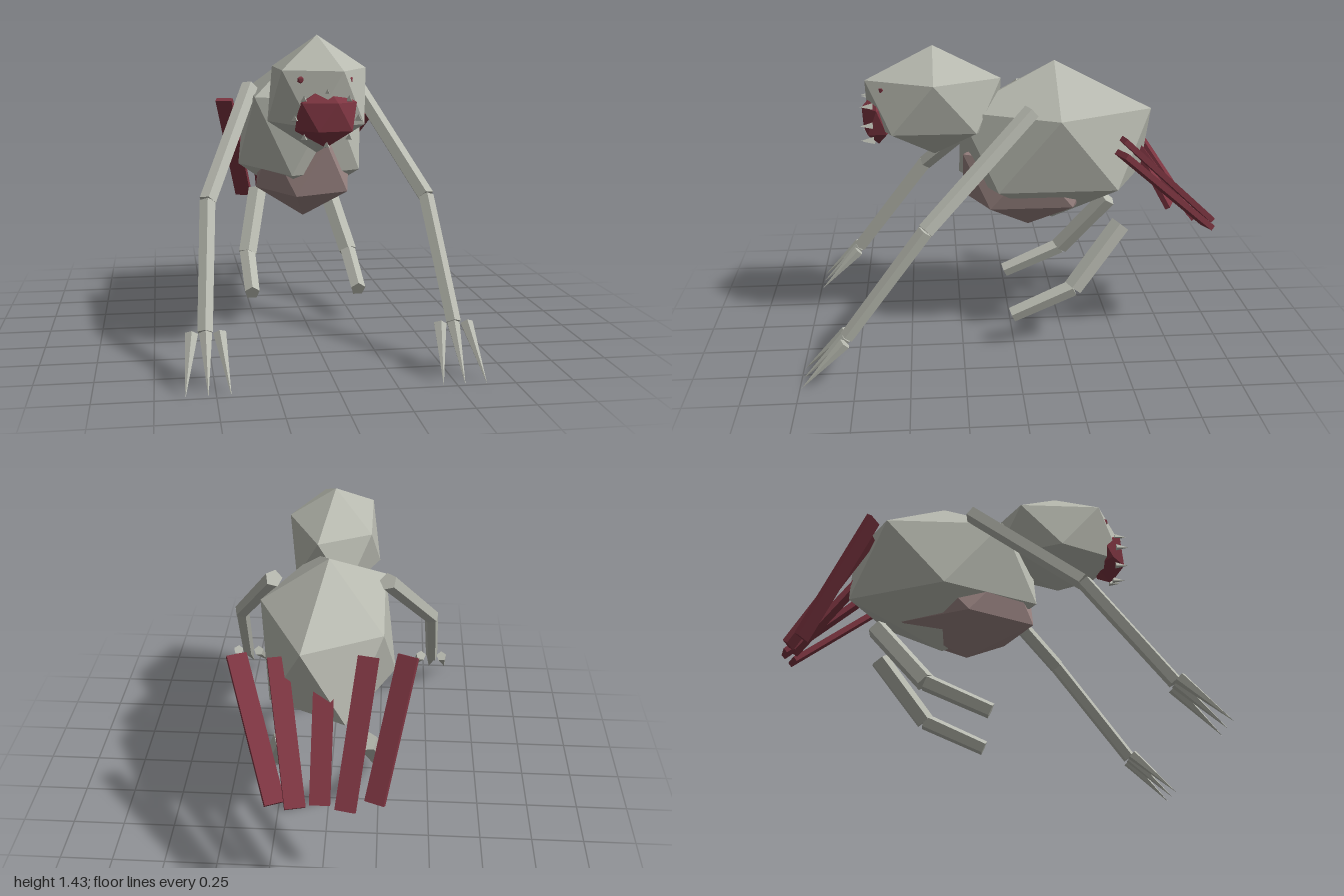
import * as THREE from 'three';
import { ConvexGeometry } from 'three/addons/geometries/ConvexGeometry.js';

const V = (x, y, z) => new THREE.Vector3(x, y, z);

export function createModel() {
  const model = new THREE.Group();
  model.name = 'creature';

  const flat = (name, color) => {
    const m = new THREE.MeshStandardMaterial({ color, flatShading: true });
    m.name = name;
    return m;
  };
  const skin = flat('pale grey skin', 0xb8bab0);
  const belly = flat('pinkish grey belly', 0x9a8482);
  const red = flat('dark red', 0x7d3541);

  const add = (name, geometry, material, parent = model) => {
    const mesh = new THREE.Mesh(geometry, material);
    mesh.name = name;
    parent.add(mesh);
    return mesh;
  };

  // Pole-up icosahedron: two poles and two staggered rings of five
  const blob = (name, centre, radii, material) => {
    const points = [V(0, 1, 0), V(0, -1, 0)];
    const h = Math.sqrt(0.2), r = 2 * h;
    for (let i = 0; i < 5; i++) {
      const a = i * Math.PI * 0.4;
      points.push(V(r * Math.cos(a), h, r * Math.sin(a)));
      points.push(V(-r * Math.cos(a), -h, r * Math.sin(a)));
    }
    points.forEach(p => p.multiply(radii));
    add(name, new ConvexGeometry(points), material).position.copy(centre);
  };

  // Tapered prism running from a top point down to a bottom point
  const limb = (name, top, bottom, rTop, rBottom, parent, sides = 5) => {
    const axis = top.clone().sub(bottom);
    const mesh = add(name, new THREE.CylinderGeometry(rTop, rBottom, axis.length(), sides), skin, parent);
    mesh.position.copy(top).add(bottom).multiplyScalar(0.5);
    mesh.quaternion.setFromUnitVectors(V(0, 1, 0), axis.normalize());
  };

  // Body masses
  blob('body', V(0, 0.962, -0.21), V(0.35, 0.397, 0.535), skin);
  blob('belly', V(0, 0.803, -0.09), V(0.263, 0.27, 0.376), belly);
  blob('head', V(0, 1.175, 0.365), V(0.25, 0.265, 0.372), skin);
  blob('mouth', V(0, 1.1, 0.63), V(0.15, 0.135, 0.084), red);

  // Ring of teeth pointing forward
  const teeth = new THREE.Group();
  teeth.name = 'teeth';
  model.add(teeth);
  for (let i = 0; i < 8; i++) {
    const a = i * Math.PI / 4;
    const tooth = add('tooth', new THREE.ConeGeometry(0.018, 0.06, 3), skin, teeth);
    tooth.rotation.x = Math.PI / 2;
    tooth.rotation.y = Math.PI;
    tooth.position.set(0.137 * Math.sin(a), 1.092 + 0.115 * Math.cos(a), 0.678);
    tooth.rotation.set(Math.PI / 2, Math.PI, 0);
  }

  for (const s of [1, -1]) {
    const side = s > 0 ? 'left' : 'right';
    blob(side + 'Eye', V(s * 0.103, 1.253, 0.6), V(0.02, 0.02, 0.02), red);

    // Long front arm with three claws
    const arm = new THREE.Group();
    arm.name = side + 'Arm';
    model.add(arm);
    const elbow = V(s * 0.5, 0.705, 0.415);
    limb('upperArm', V(s * 0.265, 1.18, -0.08), elbow, 0.042, 0.04, arm);
    limb('forearm', elbow, V(s * 0.535, 0.215, 0.785), 0.037, 0.034, arm);
    for (const k of [-1, 0, 1]) {
      limb('claw', V(s * 0.533 + k * 0.059, 0.212, 0.79), V(s * 0.533 + k * 0.093, 0.008, 0.995), 0.029, 0, arm);
    }

    // Short hind leg
    const leg = new THREE.Group();
    leg.name = side + 'HindLeg';
    model.add(leg);
    const knee = V(s * 0.265, 0.297, -0.285);
    limb('thigh', V(s * 0.19, 0.59, -0.52), knee, 0.05, 0.048, leg);
    limb('shin', knee, V(s * 0.267, 0.165, 0.01), 0.042, 0.038, leg);
  }

  // Fan of five tail planks: top point, bottom point
  const planks = [
    [V(-0.36, 1.08, -0.55), V(-0.235, 0.515, -0.86)],
    [V(-0.19, 1.08, -0.565), V(-0.11, 0.53, -0.935)],
    [V(0, 1.06, -0.53), V(0, 0.545, -0.92)],
    [V(0.21, 1.025, -0.51), V(0.1, 0.575, -0.98)],
    [V(0.395, 1.01, -0.475), V(0.19, 0.57, -0.95)],
  ];
  for (const [top, bottom] of planks) {
    const axis = top.clone().sub(bottom);
    const mesh = add('tailPlank', new THREE.BoxGeometry(0.09, axis.length(), 0.027), red);
    mesh.position.copy(top).add(bottom).multiplyScalar(0.5);
    axis.normalize();
    const across = V(0, 1, 0).cross(axis).normalize();
    const out = across.clone().cross(axis);
    mesh.quaternion.setFromRotationMatrix(new THREE.Matrix4().makeBasis(across, axis, out));
  }
  return model;
}
